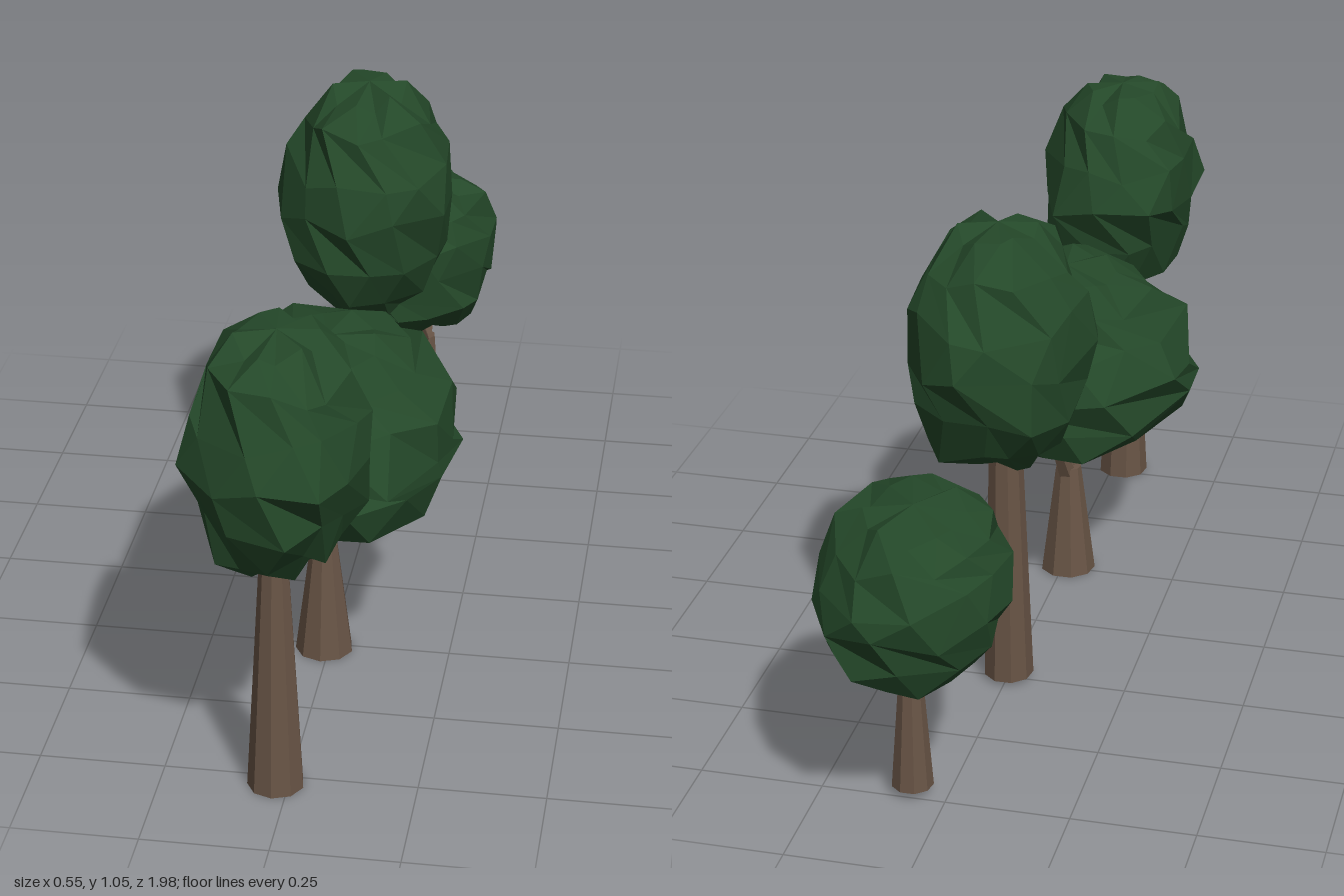
import * as THREE from 'three';

const leafMat = new THREE.MeshStandardMaterial({ color: 0x244829, flatShading: true });
const barkMat = new THREE.MeshStandardMaterial({ color: 0x695546, flatShading: true });

function seeded(seed) {
  let s = seed;
  return () => (s = (s * 16807) % 2147483647) / 2147483647;
}

// Craggy crown filling the box min..max. belly is the height (0..1) of its
// widest ring; under and over are the roundness below and above that ring.
function crown({ min, max, belly, under, over, rough, seed }) {
  const rnd = seeded(seed);
  const jitter = amount => (rnd() - 0.5) * amount;
  const mid = min.map((m, i) => (m + max[i]) / 2);
  const half = min.map((m, i) => (max[i] - m) / 2);
  const seg = 12, rows = 8;
  const geo = new THREE.SphereGeometry(1, seg, rows);
  const pos = geo.attributes.position;
  for (let row = 0; row <= rows; row++) {
    const pole = row === 0 || row === rows;
    const t = (1 + Math.cos((row / rows) * Math.PI)) / 2;
    const u = t < belly ? (belly - t) / belly : (t - belly) / (1 - belly);
    const p = t < belly ? under : over;
    const width = Math.pow(Math.max(0, 1 - Math.pow(u, p)), 1 / p);
    for (let col = 0; col <= seg; col++) {
      const i = row * (seg + 1) + col;
      if (col === seg) { // close the seam
        const j = row * (seg + 1);
        pos.setXYZ(i, pos.getX(j), pos.getY(j), pos.getZ(j));
        continue;
      }
      const angle = ((col + (row % 2) * 0.5 + jitter(0.6)) / seg) * Math.PI * 2;
      const r = pole ? 0 : width * (1.05 - rough * rnd());
      const y = mid[1] + (2 * t - 1) * half[1] + (pole ? 0 : jitter(0.045));
      pos.setXYZ(i,
        mid[0] - Math.cos(angle) * r * half[0],
        THREE.MathUtils.clamp(y, min[1], max[1]),
        mid[2] + Math.sin(angle) * r * half[2]);
    }
  }
  const mesh = new THREE.Mesh(geo, leafMat);
  mesh.name = 'crown';
  return mesh;
}

// Tapered round piece of wood between two points
function limb(name, from, to, r0, r1, sides) {
  const a = new THREE.Vector3(...from), b = new THREE.Vector3(...to);
  const dir = b.clone().sub(a);
  const mesh = new THREE.Mesh(new THREE.CylinderGeometry(r1, r0, dir.length(), sides), barkMat);
  mesh.position.copy(a).add(b).multiplyScalar(0.5);
  mesh.quaternion.setFromUnitVectors(new THREE.Vector3(0, 1, 0), dir.normalize());
  mesh.name = name;
  return mesh;
}

const trees = [
  { // tall tree at the front, with a ragged crown
    name: 'frontTree',
    trunk: [[-0.025, 0, 0.775], [-0.025, 0.54, 0.77], 0.056, 0.026],
    branches: [],
    crown: { min: [-0.2, 0.48, 0.515], max: [0.165, 0.97, 1], belly: 0.55, under: 2, over: 2.1, rough: 0.18, seed: 411 },
  },
  { // wide spreading tree with a forked trunk
    name: 'wideTree',
    trunk: [[-0.01, 0, 0.262], [-0.01, 0.25, 0.262], 0.06, 0.028],
    branches: [
      [[-0.01, 0.23, 0.27], [-0.01, 0.31, 0.295], 0.02, 0.016],
      [[-0.01, 0.3, 0.292], [-0.03, 0.42, 0.335], 0.016, 0.011],
      [[-0.01, 0.23, 0.253], [0.02, 0.42, 0.165], 0.02, 0.009],
    ],
    crown: { min: [-0.285, 0.36, -0.08], max: [0.28, 0.725, 0.615], belly: 0.44, under: 2.8, over: 2, rough: 0.13, seed: 2027 },
  },
  { // tallest tree, egg-shaped crown
    name: 'tallTree',
    trunk: [[0, 0.01, -0.24], [0, 0.62, -0.26], 0.052, 0.032],
    branches: [[[0, 0.5, -0.245], [0, 0.64, -0.195], 0.02, 0.014]],
    crown: { min: [-0.19, 0.53, -0.55], max: [0.19, 1.045, -0.06], belly: 0.47, under: 2, over: 2.1, rough: 0.13, seed: 933 },
  },
  { // small tree at the back
    name: 'smallTree',
    trunk: [[0.072, 0.018, -0.725], [0.072, 0.26, -0.725], 0.042, 0.024],
    branches: [
      [[0.072, 0.245, -0.72], [0.06, 0.36, -0.63], 0.015, 0.009],
      [[0.072, 0.245, -0.73], [0.085, 0.36, -0.79], 0.015, 0.009],
    ],
    crown: { min: [-0.13, 0.28, -1], max: [0.235, 0.645, -0.5], belly: 0.53, under: 2, over: 2.5, rough: 0.13, seed: 5150 },
  },
];

export function createModel() {
  const model = new THREE.Group();
  model.name = 'treeRow';
  for (const t of trees) {
    const tree = new THREE.Group();
    tree.name = t.name;
    tree.add(limb('trunk', ...t.trunk, 9));
    for (const b of t.branches) tree.add(limb('branch', ...b, 5));
    tree.add(crown(t.crown));
    model.add(tree);
  }
  return model;
}
